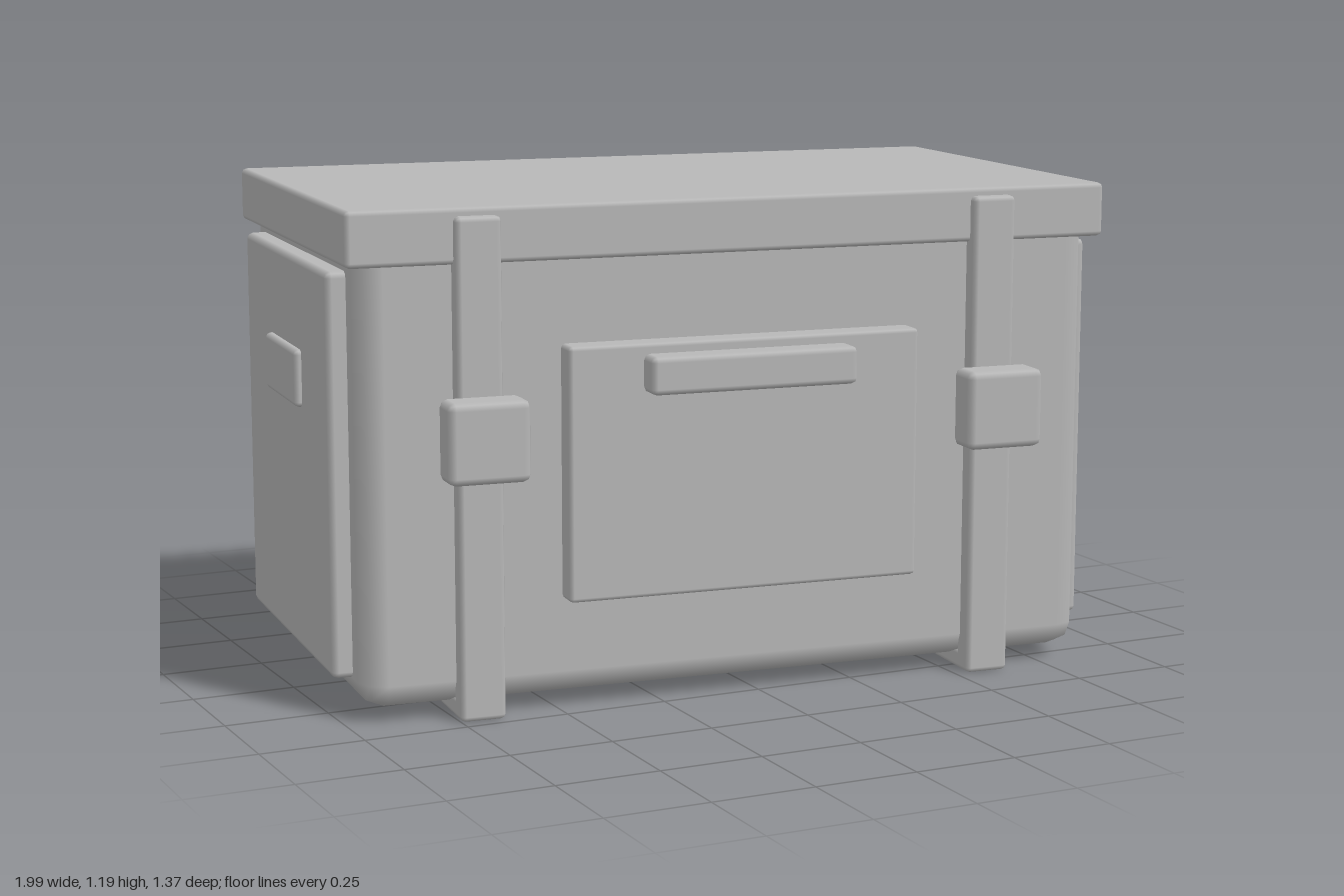
import * as THREE from 'three';
import { RoundedBoxGeometry } from 'three/addons/geometries/RoundedBoxGeometry.js';

export function createModel() {
  const model = new THREE.Group();
  model.name = 'storageCrate';
  const grey = new THREE.MeshStandardMaterial({ color: 0xb8b8b8 });
  grey.name = 'plain grey';

  // The crate stands slightly turned about the vertical axis
  const crate = new THREE.Group();
  crate.name = 'crate';
  crate.rotation.y = -0.098;
  crate.position.set(-0.003, 0, -0.03);
  model.add(crate);

  // Bevelled block given by its [min, max] range on each axis
  const block = (name, [x0, x1], [y0, y1], [z0, z1], bevel) => {
    const geometry = new RoundedBoxGeometry(x1 - x0, y1 - y0, z1 - z0, 1, bevel);
    const mesh = new THREE.Mesh(geometry, grey);
    mesh.name = name;
    mesh.position.set((x0 + x1) / 2, (y0 + y1) / 2, (z0 + z1) / 2);
    crate.add(mesh);
    return mesh;
  };

  // Main shell and overhanging lid
  block('body', [-0.915, 0.915], [0.03, 1.13], [-0.525, 0.525], 0.06);
  block('lid', [-0.945, 0.945], [1.06, 1.19], [-0.543, 0.543], 0.012);

  // Front and back panels with their grips
  block('frontPanel', [-0.437, 0.437], [0.265, 0.865], [0.5, 0.586], 0.01);
  block('frontHandle', [-0.256, 0.256], [0.75, 0.84], [0.56, 0.646], 0.014);
  block('backPanel', [-0.577, 0.577], [0.23, 0.895], [-0.575, -0.5], 0.01);
  block('backHandle', [-0.319, 0.319], [0.765, 0.867], [-0.628, -0.55], 0.014);

  for (const side of [-1, 1]) {
    const label = side > 0 ? 'left' : 'right';
    const span = (a, b) => (side > 0 ? [a, b] : [-b, -a]);

    // End panel and its thin grip plate
    block(label + 'SidePanel', span(0.88, 0.962), [0.09, 1.04], [-0.42, 0.42], 0.015);
    block(label + 'SideHandle', span(0.93, 0.979), [0.688, 0.825], [-0.15, 0.165], 0.012);

    // Strap running down the front, under the body and up the back
    const width = span(0.588, 0.696);
    block(label + 'StrapFront', width, [0, 1.17], [0.505, 0.569], 0.012);
    block(label + 'StrapBack', width, [0, 1.17], [-0.562, -0.505], 0.012);
    block(label + 'StrapBottom', width, [0, 0.05], [-0.562, 0.569], 0.012);

    // Buckle on the front of the strap
    block(label + 'Buckle', span(0.545, 0.74), [0.57, 0.76], [0.552, 0.647], 0.018);
  }

  return model;
}
